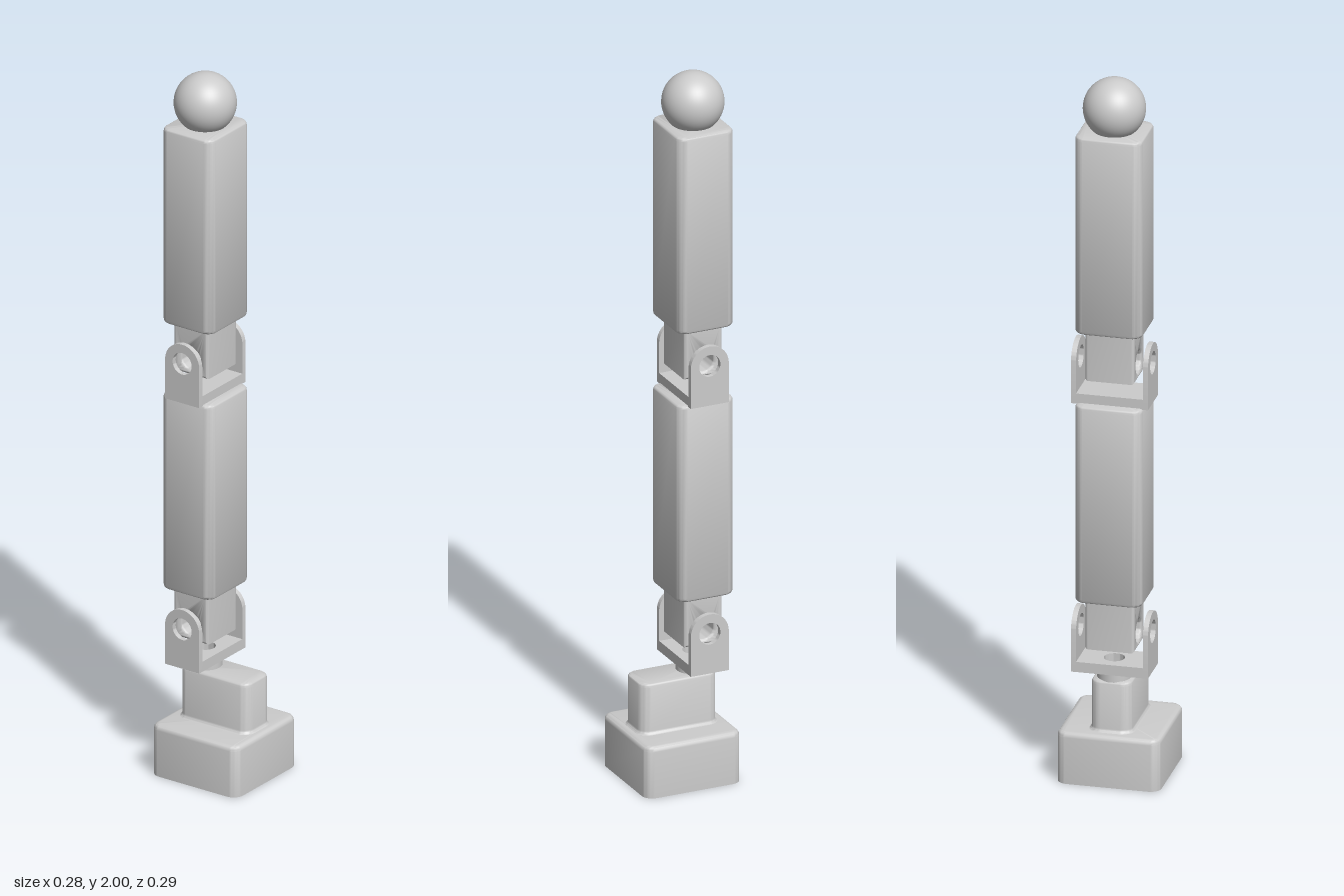
import * as THREE from 'three';
import { toCreasedNormals } from 'three/addons/utils/BufferGeometryUtils.js';

const AXIS_Z = -0.061; // depth of the arm's centre line
const material = new THREE.MeshStandardMaterial({ color: 0xcccccc });

function part(name, geometry, x = 0, y = 0, z = 0) {
  const mesh = new THREE.Mesh(geometry, material);
  mesh.name = name;
  mesh.position.set(x, y, z);
  return mesh;
}

// Closed loft of rounded rectangles; profile is a list of [y, inset] going upward
function roundedPrism(w, d, r, profile) {
  const steps = 8, n = 4 * (steps + 1), pos = [], index = [];
  for (const [y, inset] of profile) {
    const rad = Math.max(r - inset, 0.002);
    for (let c = 0; c < 4; c++) {
      const sx = c === 0 || c === 3 ? 1 : -1, sz = c < 2 ? 1 : -1;
      for (let i = 0; i <= steps; i++) {
        const a = (c + i / steps) * Math.PI / 2;
        pos.push(sx * (w / 2 - inset - rad) + rad * Math.cos(a), y,
          sz * (d / 2 - inset - rad) + rad * Math.sin(a));
      }
    }
  }
  for (let k = 0; k < profile.length - 1; k++) {
    for (let i = 0; i < n; i++) {
      const a = k * n + i, b = k * n + (i + 1) % n;
      index.push(a, a + n, b, b, a + n, b + n);
    }
  }
  const top = (profile.length - 1) * n;
  for (let i = 1; i < n - 1; i++) {
    index.push(0, i, i + 1, top, top + i + 1, top + i);
  }
  const g = new THREE.BufferGeometry();
  g.setAttribute('position', new THREE.Float32BufferAttribute(pos, 3));
  g.setIndex(index);
  return toCreasedNormals(g, 0.6);
}

// Quarter-round edge profiles
const quarter = [0, 1, 2, 3, 4].map((i) => i * Math.PI / 8);
const roundTop = (h, b) => quarter.map((a) => [h - b + b * Math.sin(a), b - b * Math.cos(a)]);
const roundBottom = (b) => quarter.map((a) => [b - b * Math.cos(a), b - b * Math.sin(a)]);
const fillet = (f) => quarter.map((a) => [f - f * Math.cos(a), f * Math.sin(a) - f]);

function circle(r, x = 0, y = 0) {
  return new THREE.Path().absarc(x, y, r, 0, Math.PI * 2, true);
}

// Extrude a side profile across x, centred
function extrudeAcross(shape, width, bevel = 0) {
  const g = new THREE.ExtrudeGeometry(shape, {
    depth: width - 2 * bevel, curveSegments: 24, bevelEnabled: bevel > 0,
    bevelSize: bevel, bevelThickness: bevel, bevelOffset: -bevel, bevelSegments: 4,
  });
  g.translate(0, 0, -width / 2 + bevel).rotateY(-Math.PI / 2);
  return toCreasedNormals(g, 0.6);
}

// U-shaped fork: floor plate and two drilled ears; origin at the pin axis
function makeFork(name, floorHole) {
  const group = new THREE.Group();
  group.name = name;
  const half = 0.0555, bottom = -0.114, thick = 0.029, outer = 0.105, earW = 0.014;

  const ear = new THREE.Shape();
  ear.moveTo(-half, bottom);
  ear.lineTo(half, bottom);
  ear.lineTo(half, 0);
  ear.absarc(0, 0, half, 0, Math.PI, false);
  ear.lineTo(-half, bottom);
  ear.holes.push(circle(0.031));
  for (const side of [-1, 1]) {
    group.add(part(side > 0 ? 'leftEar' : 'rightEar', extrudeAcross(ear, earW), side * (outer - earW / 2)));
  }

  const inner = outer - earW;
  const plate = new THREE.Shape();
  plate.moveTo(-inner, -half);
  plate.lineTo(inner, -half);
  plate.lineTo(inner, half);
  plate.lineTo(-inner, half);
  plate.closePath();
  if (floorHole) plate.holes.push(circle(0.028));
  const floor = new THREE.ExtrudeGeometry(plate, { depth: thick, bevelEnabled: false, curveSegments: 24 });
  floor.rotateX(-Math.PI / 2);
  group.add(part('forkFloor', toCreasedNormals(floor, 0.6), 0, bottom));
  return group;
}

// Knuckle block with a pin bore across x; origin at the pin axis
function makeKnuckle() {
  const half = 0.0555, low = -0.046, high = 0.1;
  const s = new THREE.Shape();
  s.moveTo(-half, low);
  s.lineTo(half, low);
  s.lineTo(half, high);
  s.lineTo(-half, high);
  s.closePath();
  s.holes.push(circle(0.031));
  return extrudeAcross(s, 0.134, 0.008);
}

export function createModel() {
  const model = new THREE.Group();
  model.name = 'jointedArm';

  // Base and offset pedestal
  model.add(part('base', roundedPrism(0.282, 0.282, 0.03, [[0, 0], ...roundTop(0.146, 0.014)])));
  model.add(part('pedestal',
    roundedPrism(0.112, 0.224, 0.03, [...fillet(0.011), ...roundTop(0.145, 0.01)]), 0, 0.145, 0.002));

  // Swivel disc under the lower fork
  model.add(part('swivelDisc', new THREE.CylinderGeometry(0.046, 0.046, 0.028, 40), 0, 0.302, AXIS_Z));

  // Two identical joints, each carrying a link
  const joints = [['lower', 0.427, true], ['upper', 1.196, false]];
  for (const [label, pinY, hole] of joints) {
    const joint = new THREE.Group();
    joint.name = label + 'Joint';
    joint.position.set(0, pinY, AXIS_Z);
    joint.add(makeFork(label + 'Fork', hole));
    joint.add(part(label + 'Knuckle', makeKnuckle()));
    joint.add(part(label + 'Link',
      roundedPrism(0.185, 0.167, 0.03, [...roundBottom(0.01), ...roundTop(0.564, 0.01)]), 0, 0.094));
    model.add(joint);
  }

  // Ball tip
  model.add(part('ballTip', new THREE.SphereGeometry(0.084, 48, 32), 0, 1.916, AXIS_Z));
  return model;
}
